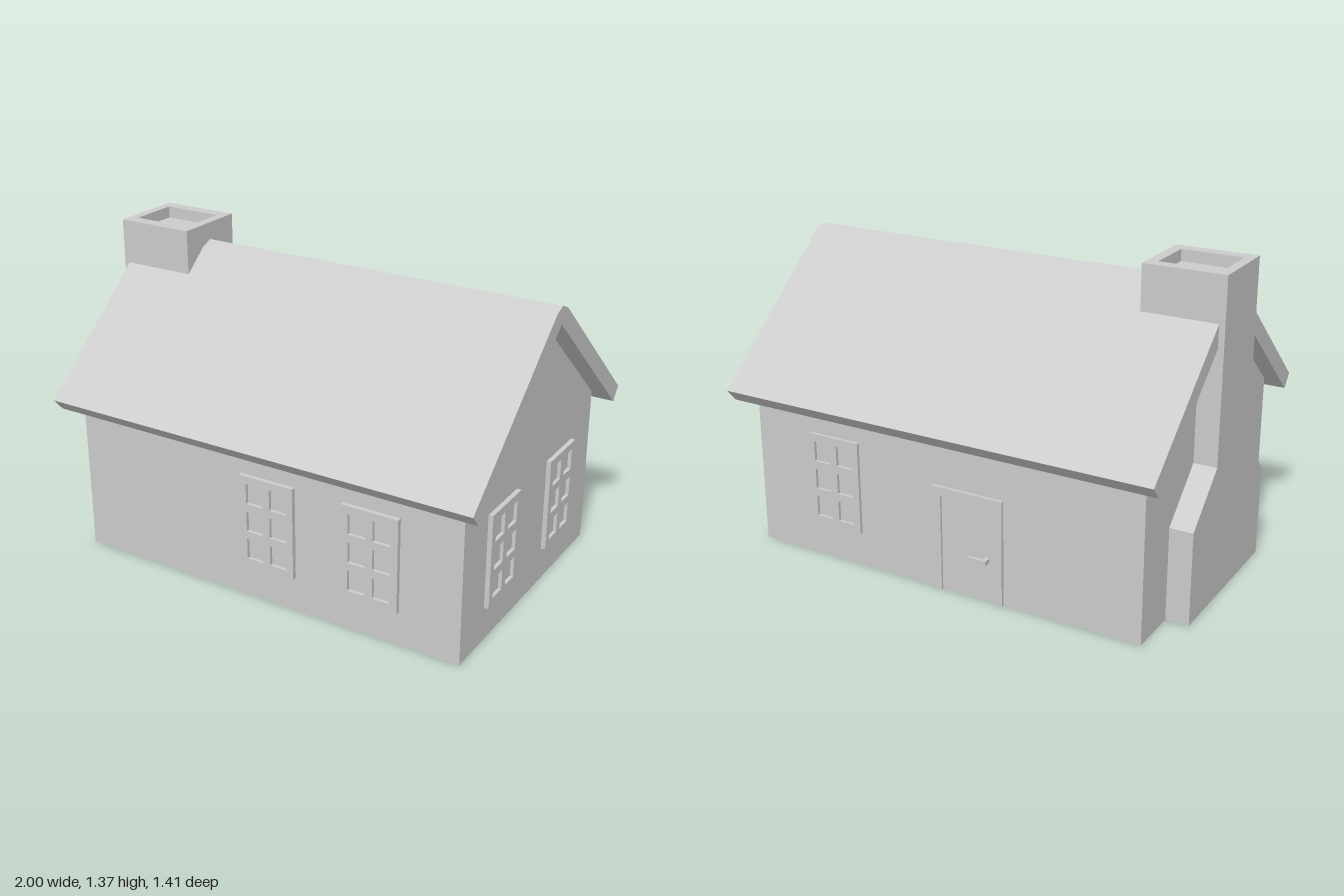
import * as THREE from 'three';

const grey = new THREE.MeshStandardMaterial({ color: 0xcccccc, flatShading: true });
const thin = new THREE.MeshStandardMaterial({ color: 0xcccccc, flatShading: true, side: THREE.DoubleSide });

function add(parent, name, geometry, x = 0, y = 0, z = 0, material = grey) {
  const mesh = new THREE.Mesh(geometry, material);
  mesh.name = name;
  mesh.position.set(x, y, z);
  parent.add(mesh);
  return mesh;
}

const shapeOf = (pts) => new THREE.Shape(pts.map(([a, b]) => new THREE.Vector2(a, b)));
const rect = (cx, cy, w, h) => [
  [cx - w / 2, cy - h / 2], [cx + w / 2, cy - h / 2],
  [cx + w / 2, cy + h / 2], [cx - w / 2, cy + h / 2],
];
const extrude = (shape, depth) => new THREE.ExtrudeGeometry(shape, { depth, bevelEnabled: false });

// Extrudes a (z, y) profile along x, from x0 to x1
function extrudeX(profile, x0, x1) {
  const geometry = extrude(shapeOf(profile.map(([z, y]) => [-z, y])), x1 - x0);
  return geometry.rotateY(Math.PI / 2).translate(x0, 0, 0);
}

// Six-pane window: origin at the centre of its outer face, facing +z
function createWindow(name) {
  const group = new THREE.Group();
  group.name = name;
  const frame = shapeOf(rect(0, 0, 0.255, 0.41));
  for (const cx of [-0.056, 0.056]) {
    for (const cy of [-0.126, 0, 0.126]) {
      frame.holes.push(shapeOf(rect(cx, cy, 0.078, 0.09)));
    }
  }
  const recess = 0.015;
  add(group, 'windowFrame', extrude(frame, recess), 0, 0, -recess);
  add(group, 'windowPanes', new THREE.BoxGeometry(0.255, 0.41, 0.025), 0, 0, -recess - 0.0125);
  return group;
}

// Door with surround and lever handle: origin at the sill, z = 0 on the surround's face
function createDoor() {
  const group = new THREE.Group();
  group.name = 'door';
  const w = 0.163, h = 0.46, bar = 0.04;
  const surround = shapeOf([
    [-w, 0], [-w + bar, 0], [-w + bar, h - bar], [w - bar, h - bar],
    [w - bar, 0], [w, 0], [w, h], [-w, h],
  ]);
  add(group, 'doorSurround', extrude(surround, 0.03), 0, 0, -0.03);
  add(group, 'doorPanel', new THREE.BoxGeometry(2 * (w - bar), h - bar, 0.02), 0, (h - bar) / 2, -0.02);
  add(group, 'handleStem', new THREE.BoxGeometry(0.02, 0.02, 0.03), 0.09, 0.185, -0.001);
  add(group, 'handleLever', new THREE.BoxGeometry(0.08, 0.02, 0.012), 0.06, 0.185, 0.016);
  return group;
}

export function createModel() {
  const house = new THREE.Group();
  house.name = 'house';

  // Walls: an open shell without floor or ceiling
  const x0 = -0.9, x1 = 0.92, half = 0.6, eave = 0.704, ridge = 1.215;
  const gable = shapeOf([[-half, 0], [half, 0], [half, eave], [0, ridge], [-half, eave]]);
  add(house, 'leftGable', new THREE.ShapeGeometry(gable).rotateY(Math.PI / 2), x1, 0, 0, thin);
  add(house, 'rightGable', new THREE.ShapeGeometry(gable).rotateY(-Math.PI / 2), x0, 0, 0, thin);
  const side = new THREE.PlaneGeometry(x1 - x0, eave);
  add(house, 'frontWall', side, (x0 + x1) / 2, eave / 2, half, thin);
  add(house, 'backWall', side.clone().rotateY(Math.PI), (x0 + x1) / 2, eave / 2, -half, thin);

  // Roof slab with a softened ridge
  add(house, 'roof', extrudeX([
    [0, 1.215], [0.657, 0.655], [0.705, 0.71], [0.05, 1.27],
    [0, 1.29], [-0.05, 1.27], [-0.705, 0.71], [-0.657, 0.655],
  ], -0.975, 1));

  // Chimney stack with sloping shoulders, and a rim around the flue
  add(house, 'chimney', extrudeX([
    [0.35, 0], [0.35, 0.4], [0.162, 0.592], [0.162, 1.315],
    [-0.164, 1.315], [-0.164, 0.592], [-0.375, 0.4], [-0.375, 0],
  ], -1, -0.65));
  const rim = shapeOf(rect(-0.825, 0.001, 0.35, 0.326));
  rim.holes.push(shapeOf(rect(-0.8275, 0.003, 0.265, 0.217)));
  add(house, 'chimneyRim', extrude(rim, 0.05).rotateX(-Math.PI / 2), 0, 1.315, 0);

  // Windows: two in front, two in the left gable, one at the back
  const windows = [
    ['frontWindow', 0.047, 0.62, 0], ['frontWindow', 0.525, 0.62, 0],
    ['gableWindow', 0.94, 0.273, Math.PI / 2], ['gableWindow', 0.94, -0.27, Math.PI / 2],
    ['backWindow', 0.525, -0.613, Math.PI],
  ];
  for (const [name, x, z, turn] of windows) {
    const pane = createWindow(name);
    pane.position.set(x, 0.355, z);
    pane.rotation.y = turn;
    house.add(pane);
  }

  // Back door
  const door = createDoor();
  door.position.set(-0.13, 0, -0.613);
  door.rotation.y = Math.PI;
  house.add(door);

  return house;
}
